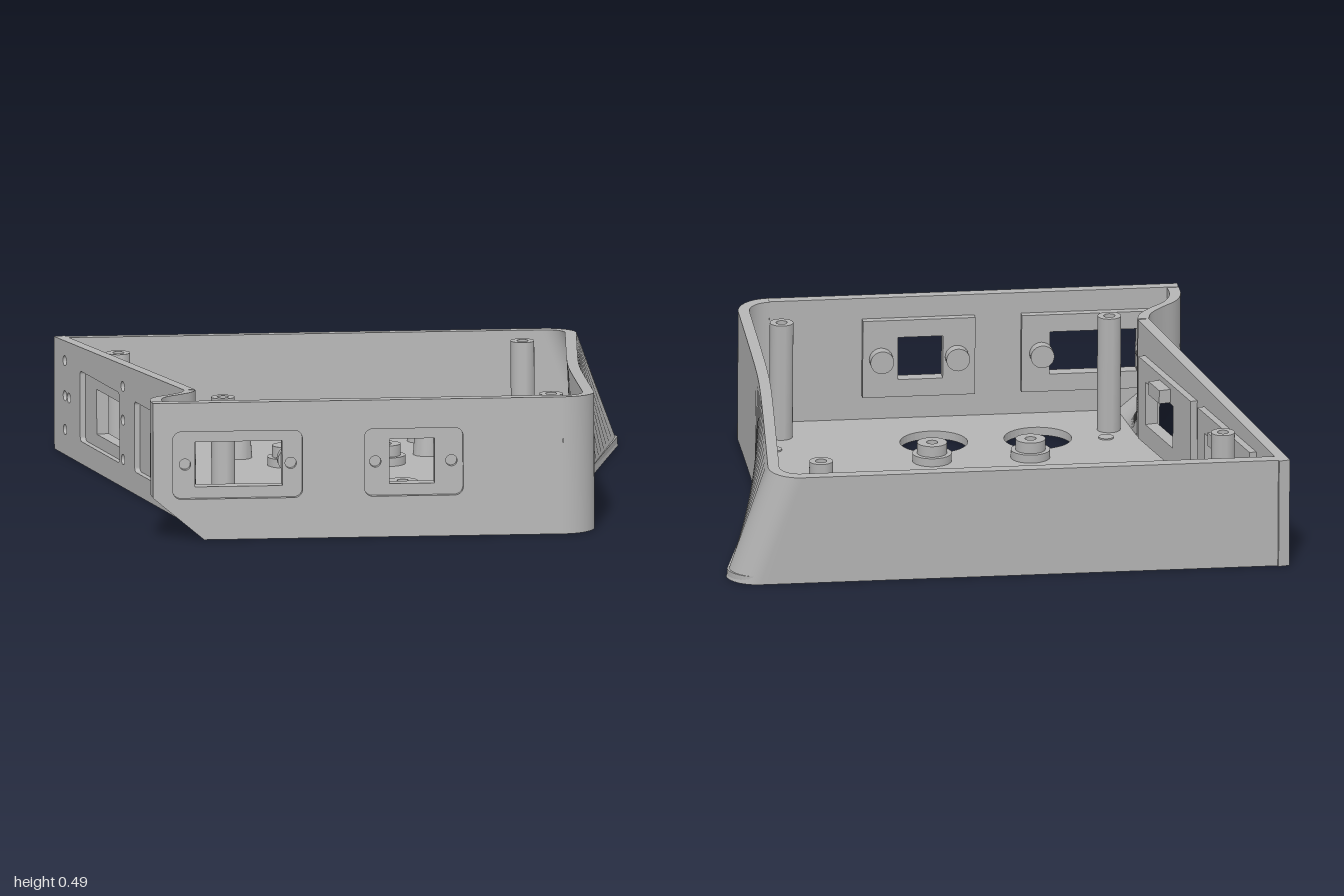
import * as THREE from 'three';
import { toCreasedNormals } from 'three/addons/utils/BufferGeometryUtils.js';

const WALL = 0.04, FLOOR = 0.03, FRONT = 0.88, BACK = -0.86;
const rimY = z => 0.4436 + 0.0507 * z;

// the whole enclosure leans back slightly
const lean = new THREE.Matrix4().set(1, 0, 0, 0, 0, 1, 0, 0, 0, -0.052, 1, 0, 0, 0, 0, 1);

// plan curve: front right corner, right side, back right corner, back wall
function rightPath(flare, w) {
  const pts = [], z0 = 0.76, z1 = -0.75, n = 12;
  const sideX = z => {
    const d = 0.1 - z;
    return 0.775 - w + flare * 0.5 * (d + Math.sqrt(d * d + 0.02)) - flare * 0.007;
  };
  for (let i = 0; i <= n; i++) {
    const a = (i / n) * Math.PI / 2, r = 0.12 - w;
    pts.push([sideX(z0) - r + r * Math.sin(a), z0 + r * Math.cos(a)]);
  }
  for (let i = 1; i < 24; i++) {
    const z = z0 + (z1 - z0) * i / 24;
    pts.push([sideX(z), z]);
  }
  for (let i = 0; i <= n; i++) {
    const a = (i / n) * Math.PI / 2, r = 0.11 - w;
    pts.push([sideX(z1) - r + r * Math.cos(a), z1 - r * Math.sin(a)]);
  }
  const x = pts[pts.length - 1][0];
  for (const t of [0.02, 0.5, 1]) pts.push([x + (-1 + w - x) * t, BACK + w]);
  return pts;
}

// plan curve of the bulge beside the front left corner
function bulgePath(w) {
  const curve = new THREE.CatmullRomCurve3([
    [-0.66, 0.55], [-0.675, 0.6], [-0.72, 0.655], [-0.775, 0.71], [-0.8, 0.77], [-0.8, FRONT],
  ].map(([x, z]) => new THREE.Vector3(x + w, 0, Math.min(z, FRONT - w))));
  return curve.getPoints(24).map(p => [p.x, p.z]);
}
const bulgeFoot = w => bulgePath(w).map(([, z]) => [-0.66 + w + (z - 0.55) * 0.121, z]);

// surface through rows of plan points, each row with a height or height rule
function loft(rows) {
  const n = rows[0].pts.length, pos = [], idx = [];
  for (const { pts, y } of rows)
    for (const [x, z] of pts) pos.push(x, typeof y === 'function' ? y(z) : y, z);
  for (let r = 0; r < rows.length - 1; r++)
    for (let i = 0; i < n - 1; i++) {
      const a = r * n + i, b = a + n;
      idx.push(a, a + 1, b, a + 1, b + 1, b);
    }
  const g = new THREE.BufferGeometry();
  g.setAttribute('position', new THREE.Float32BufferAttribute(pos, 3));
  g.setIndex(idx);
  g.computeVertexNormals();
  return g;
}

const polygon = pts => new THREE.Shape(pts.map(p => new THREE.Vector2(p[0], p[1])));
const rect = (x0, y0, x1, y1) => polygon([[x0, y0], [x1, y0], [x1, y1], [x0, y1]]);
const circle = (x, y, r) => new THREE.Path().absarc(x, y, r, 0, Math.PI * 2, true);
function roundRect(x0, y0, x1, y1, r) {
  const p = new THREE.Path();
  p.absarc(x1 - r, y1 - r, r, 0, Math.PI / 2);
  p.absarc(x0 + r, y1 - r, r, Math.PI / 2, Math.PI);
  p.absarc(x0 + r, y0 + r, r, Math.PI, Math.PI * 1.5);
  p.absarc(x1 - r, y0 + r, r, Math.PI * 1.5, Math.PI * 2);
  p.closePath();
  return p;
}
function slab(shape, holes, z0, z1) {
  shape.holes.push(...holes);
  return new THREE.ExtrudeGeometry(shape, { depth: z1 - z0, bevelEnabled: false, curveSegments: 20 })
    .translate(0, 0, z0);
}

// hollow post on the floor, from a profile of [radius, height]
function post(profile) {
  const pts = profile.map(([r, y]) => new THREE.Vector2(r, y));
  return toCreasedNormals(new THREE.LatheGeometry(pts, 28), 0.6);
}

export function createModel() {
  const group = new THREE.Group();
  const grey = new THREE.MeshStandardMaterial({ color: 0xb4b4b4, side: THREE.DoubleSide });
  grey.name = 'grey plastic';
  const add = (name, geo, m = new THREE.Matrix4()) => {
    const mesh = new THREE.Mesh(geo.applyMatrix4(lean.clone().multiply(m)), grey);
    mesh.name = name;
    group.add(mesh);
  };
  const at = (x, y, z) => new THREE.Matrix4().makeTranslation(x, y, z);

  // floor with three round openings
  const outline = [...rightPath(0.254, 0.003), [-0.997, BACK + 0.003], [-0.657, 0.55], [-0.618, FRONT - 0.003]];
  const openings = [[-0.04, 0.01, 0.105], [-0.27, 0.56, 0.12], [0.1, 0.56, 0.12]].map(c => circle(...c));
  add('floor', slab(polygon(outline), openings, 0, FLOOR).rotateX(Math.PI / 2).translate(0, FLOOR, 0));

  // right and back walls
  const topOut = rightPath(0.081, 0), topIn = rightPath(0.081, WALL);
  add('rightAndBackWallOutside', loft([{ pts: rightPath(0.254, 0), y: 0 }, { pts: topOut, y: rimY }]));
  add('rightAndBackRim', loft([{ pts: topOut, y: rimY }, { pts: topIn, y: rimY }]));
  add('rightAndBackWallInside', loft([{ pts: topIn, y: rimY }, { pts: rightPath(0.24, WALL), y: FLOOR }]));

  // bulge at the front left corner, sloping in underneath
  const bOut = bulgePath(0), bIn = bulgePath(WALL);
  add('bulgeOutside', loft([{ pts: bOut, y: 0.15 }, { pts: bOut, y: rimY }]));
  add('bulgeUnderside', loft([{ pts: bulgeFoot(0), y: 0 }, { pts: bOut, y: 0.15 }]));
  add('bulgeRim', loft([{ pts: bOut, y: rimY }, { pts: bIn, y: rimY }]));
  add('bulgeInside', loft([{ pts: bIn, y: rimY }, { pts: bIn, y: 0.18 }]));
  add('bulgeInsideSlope', loft([{ pts: bIn, y: 0.18 }, { pts: bulgeFoot(WALL), y: FLOOR }]));

  // front wall: recessed ports in the outer layer, openings through the inner one
  const frontOutline = () => polygon([[-0.8, 0.15], [-0.62, 0], [0.655, 0], [0.655, 0.488], [-0.8, 0.488]]);
  const frontPorts = [
    { recess: [-0.73, 0.145, -0.27, 0.385], open: [-0.65, 0.185, -0.34, 0.345], screws: [-0.685, -0.31], plate: [-0.74, -0.24] },
    { recess: [-0.05, 0.145, 0.3, 0.385], open: [0.04, 0.185, 0.2, 0.345], screws: [-0.01, 0.26], plate: [-0.075, 0.325] },
  ];
  const zMid = FRONT - 0.02, zIn = FRONT - WALL, zPlate = zIn - 0.03;
  const screwHoles = p => p.screws.map(x => circle(x, 0.265, 0.02));
  add('frontWallOuter', slab(frontOutline(), frontPorts.map(p => roundRect(...p.recess, 0.03)), zMid, FRONT));
  add('frontWallInner', slab(frontOutline(), frontPorts.flatMap(p => [rect(...p.open), ...screwHoles(p)]), zIn, zMid));
  for (const p of frontPorts) {
    add('frontBackingPlate', slab(rect(p.plate[0], 0.12, p.plate[1], 0.41), [rect(...p.open)], zPlate, zIn));
    for (const x of p.screws)
      add('frontNutBoss', new THREE.CylinderGeometry(0.042, 0.042, 0.045, 24).rotateX(Math.PI / 2), at(x, 0.265, zPlate - 0.02));
  }

  // left wall, laid out along its own length u
  const len = Math.hypot(0.34, 1.41);
  const leftM = at(-1, 0, BACK).multiply(new THREE.Matrix4().makeRotationY(-Math.atan2(1.41, 0.34)));
  const leftOutline = () => polygon([[0, 0], [len, 0], [len, rimY(0.55)], [0, rimY(BACK)]]);
  const offsets = [0, 0.605];
  const windows = () => offsets.map(o => rect(0.415 + o, 0.125, 0.695 + o, 0.285));
  const screws = [[0.12, 0.335], [0.12, 0.21], [0.165, 0.21], [0.12, 0.09]];
  for (const u of [0.765, 1.37]) screws.push([u, 0.36], [u, 0.24], [u, 0.1]);
  add('leftWallOuter', slab(leftOutline(), [
    ...offsets.map(o => roundRect(0.29 + o, 0.08, 0.725 + o, 0.33, 0.015)),
    ...screws.map(([u, y]) => circle(u, y, 0.018)),
  ], -0.02, 0), leftM);
  add('leftWallInner', slab(leftOutline(), windows(), -WALL, -0.02), leftM);
  offsets.forEach((o, i) => {
    add('leftBackingPlate', slab(rect(0.235 + o, 0.05, 0.77 + o, 0.36), [windows()[i]], -WALL - 0.025, -WALL), leftM);
    add('leftClip', new THREE.BoxGeometry(0.11, 0.05, 0.045), leftM.clone().multiply(at(0.495 + o, 0.315, -WALL - 0.045)));
  });

  // tall corner screw posts
  for (const [x, z] of [[0.645, -0.665], [0.63, 0.68], [-0.53, 0.63], [-0.8, -0.53]]) {
    const h = rimY(z) - 0.015;
    add('cornerScrewPost', post([[0.02, h - 0.12], [0.02, h], [0.042, h], [0.042, FLOOR]]), at(x, 0, z));
  }
  // small and stepped board standoffs
  for (const x of [-0.38, 0.29]) for (const z of [-0.74, -0.49])
    add('smallStandoff', post([[0.02, FLOOR], [0.02, 0.13], [0.042, 0.13], [0.05, FLOOR]]), at(x, 0, z));
  for (const x of [-0.22, 0.13]) for (const z of [-0.335, 0.355])
    add('steppedStandoff', post([[0.02, FLOOR], [0.02, 0.1], [0.053, 0.1], [0.053, 0.06], [0.07, 0.06], [0.07, FLOOR]]), at(x, 0, z));
  // flat round pads on the floor
  for (const [x, z] of [[-0.595, -0.52], [0.625, -0.52], [-0.635, 0.03], [0.67, 0.03], [-0.51, 0.535], [0.67, 0.535]])
    add('floorPad', new THREE.CylinderGeometry(0.027, 0.027, 0.006, 20), at(x, FLOOR + 0.002, z));

  return group;
}
